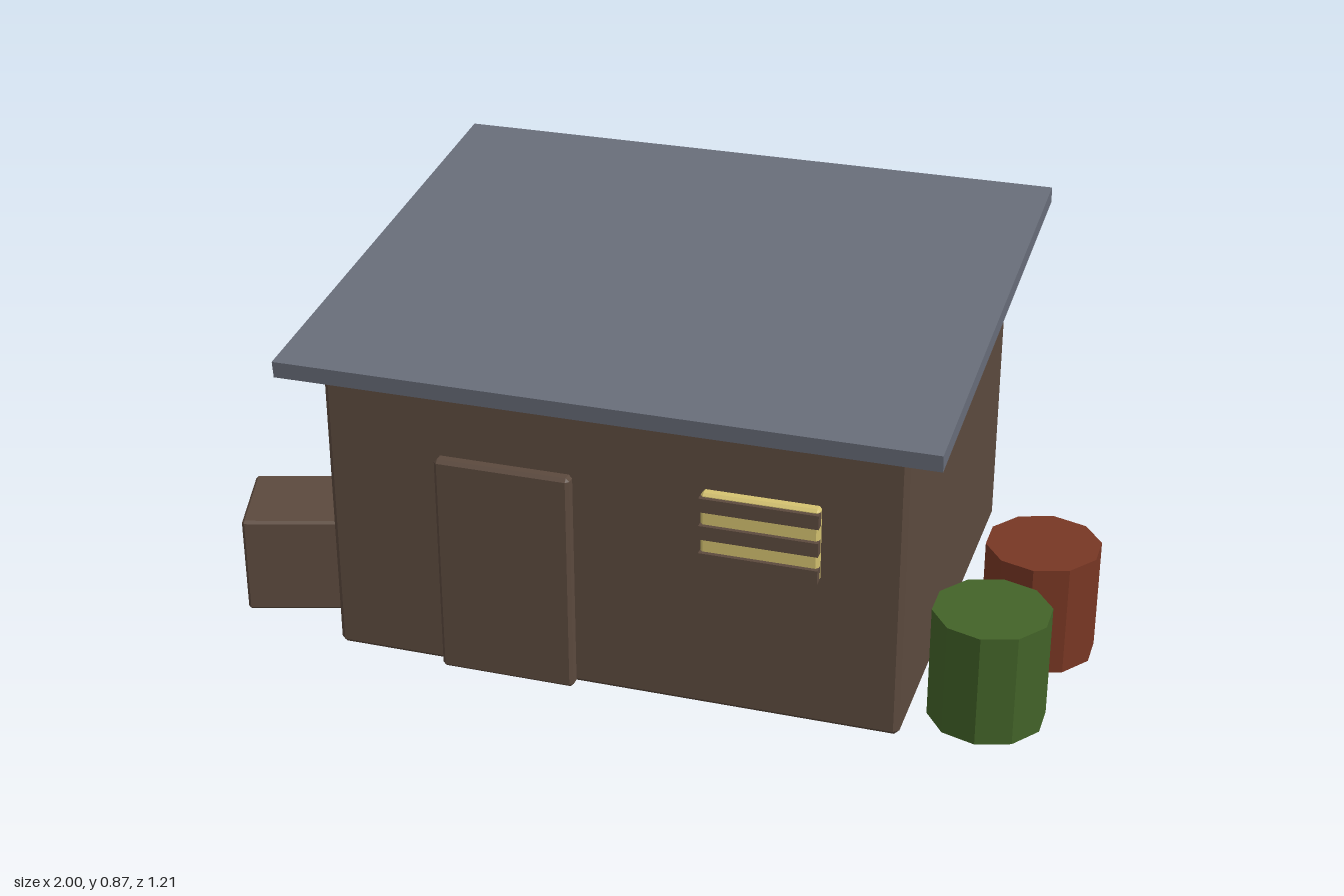
import * as THREE from 'three';
import { ConvexGeometry } from 'three/addons/geometries/ConvexGeometry.js';

const material = (name, color) => {
  const m = new THREE.MeshStandardMaterial({ color });
  m.name = name;
  return m;
};

// Box with every edge cut by a single flat chamfer
function chamferBox(w, h, d, c) {
  const points = [];
  for (const sx of [-1, 1]) for (const sy of [-1, 1]) for (const sz of [-1, 1]) {
    const x = w / 2, y = h / 2, z = d / 2;
    points.push(
      new THREE.Vector3(sx * x, sy * (y - c), sz * (z - c)),
      new THREE.Vector3(sx * (x - c), sy * y, sz * (z - c)),
      new THREE.Vector3(sx * (x - c), sy * (y - c), sz * z));
  }
  return new ConvexGeometry(points);
}

export function createModel() {
  const group = new THREE.Group();
  group.name = 'shed';
  const wood = material('brown wood', 0x5c4a3e);
  const slate = material('slate grey', 0x686d79);
  const glow = material('pale yellow', 0xd4c270);
  const green = material('barrel green', 0x436328);
  const rust = material('barrel rust', 0x783724);

  function add(name, geometry, mat, x, y, z) {
    const mesh = new THREE.Mesh(geometry, mat);
    mesh.name = name;
    mesh.position.set(x, y, z);
    group.add(mesh);
    return mesh;
  }

  // Hut walls and the sloping roof, high at the back
  add('walls', chamferBox(1.32, 0.742, 1.06, 0.012), wood, -0.005, 0.372, 0);
  const roof = add('roof', new THREE.BoxGeometry(1.483, 0.039, 1.214), slate, -0.004, 0.785, 0);
  roof.rotation.x = 0.102;

  // Door
  add('door', chamferBox(0.315, 0.53, 0.04, 0.008), wood, -0.244, 0.266, 0.536);

  // Lit window behind three slats
  add('windowPane', chamferBox(0.262, 0.18, 0.04, 0.006), glow, 0.34, 0.455, 0.532);
  for (let i = 0; i < 3; i++) {
    add('windowSlat', new THREE.BoxGeometry(0.264, 0.033, 0.022), wood, 0.34, 0.388 + i * 0.0665, 0.551);
  }

  // Ten-sided barrels
  const barrel = new THREE.CylinderGeometry(0.132, 0.132, 0.266, 10).toNonIndexed();
  barrel.computeVertexNormals();
  add('greenBarrel', barrel, green, 0.818, 0.133, 0.373);
  add('rustBarrel', barrel, rust, 0.873, 0.133, 0.053);

  // Crate beside the hut, turned a little
  const crate = add('crate', chamferBox(0.234, 0.236, 0.234, 0.006), wood, -0.856, 0.119, 0.313);
  crate.rotation.y = 0.3;

  return group;
}
